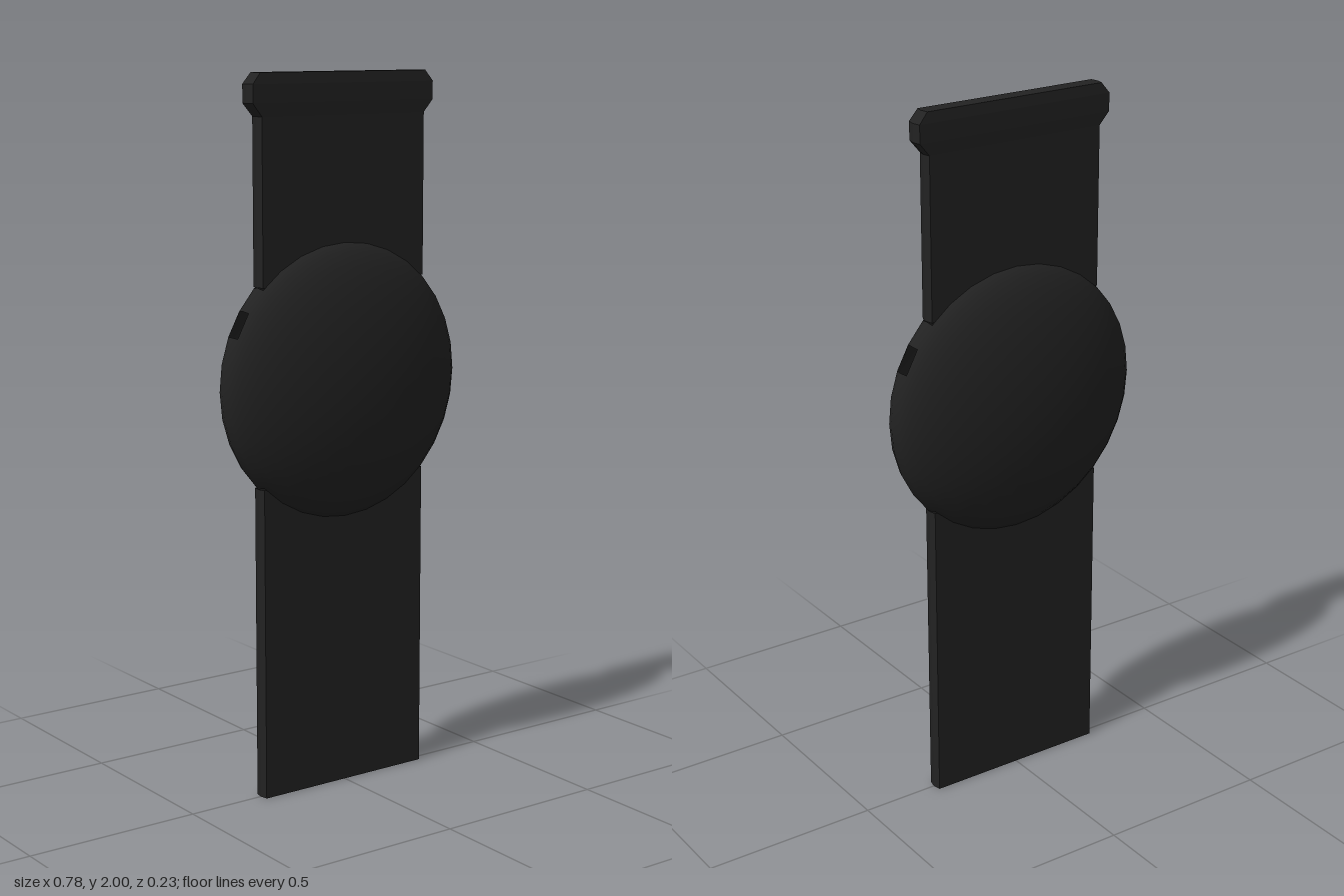
import * as THREE from 'three';

const R = 0.39, CY = 1.157, DEPTH = 0.117, SEG = 32;
const EDGE = DEPTH * Math.sin(Math.PI / 16); // half thickness of the rim band and strap

// Flattened sphere with poles on z; rim faces are left out at the straps and side slots
function discGeometry() {
  const g = new THREE.SphereGeometry(R, SEG, 16);
  g.rotateX(Math.PI / 2).scale(1, 1, DEPTH / R);
  const p = g.attributes.position, src = g.index.array, keep = [];
  for (let i = 0; i < src.length; i += 3) {
    const t = [src[i], src[i + 1], src[i + 2]];
    const mean = (axis) => t.reduce((s, v) => s + p.getComponent(v, axis), 0) / 3;
    const x = Math.abs(mean(0)), y = mean(1);
    const step = Math.floor(Math.atan2(y, x) / (2 * Math.PI / SEG));
    const open = step === 2 || step >= 4 || step < -4;
    if (!(Math.abs(mean(2)) < EDGE && open)) keep.push(...t);
  }
  g.setIndex(keep);
  return g;
}

// Strap lofted through rows of [y, half width, half thickness], with a slight ridge on each side
function strapGeometry(rows, capTop) {
  const pos = [], idx = [];
  for (const [y, w, d] of rows) {
    const s = w - 0.005;
    pos.push(s, y, d, w, y, 0, s, y, -d, -s, y, -d, -w, y, 0, -s, y, d);
  }
  for (let r = 0; r < rows.length - 1; r++) {
    for (let k = 0; k < 6; k++) {
      const a = r * 6 + k, b = r * 6 + (k + 1) % 6;
      idx.push(a, b, b + 6, a, b + 6, a + 6);
    }
  }
  // End cap on the free end
  const o = capTop ? (rows.length - 1) * 6 : 0;
  for (let k = 1; k < 5; k++) {
    idx.push(o, o + (capTop ? k : k + 1), o + (capTop ? k + 1 : k));
  }
  let g = new THREE.BufferGeometry();
  g.setAttribute('position', new THREE.Float32BufferAttribute(pos, 3));
  g.setIndex(idx);
  g = g.toNonIndexed();
  g.computeVertexNormals();
  return g;
}

export function createModel() {
  const group = new THREE.Group();
  const material = new THREE.MeshStandardMaterial({ color: 0x222222, side: THREE.DoubleSide });
  const add = (name, geometry, y = 0) => {
    const mesh = new THREE.Mesh(geometry, material);
    mesh.name = name;
    mesh.position.y = y;
    group.add(mesh);
  };

  const w = R * Math.SQRT1_2, joint = R * Math.SQRT1_2;
  add('disc', discGeometry(), CY);
  add('lowerStrap', strapGeometry([[0, w, EDGE], [CY - joint, w, EDGE]], false));
  // Upper strap ends in a wider flange with chamfered corners
  add('upperStrap', strapGeometry([
    [CY + joint, w, EDGE],
    [1.885, w, EDGE],
    [1.92, 0.305, 0.025],
    [1.97, 0.305, 0.025],
    [2, 0.28, EDGE],
  ], true));
  return group;
}
